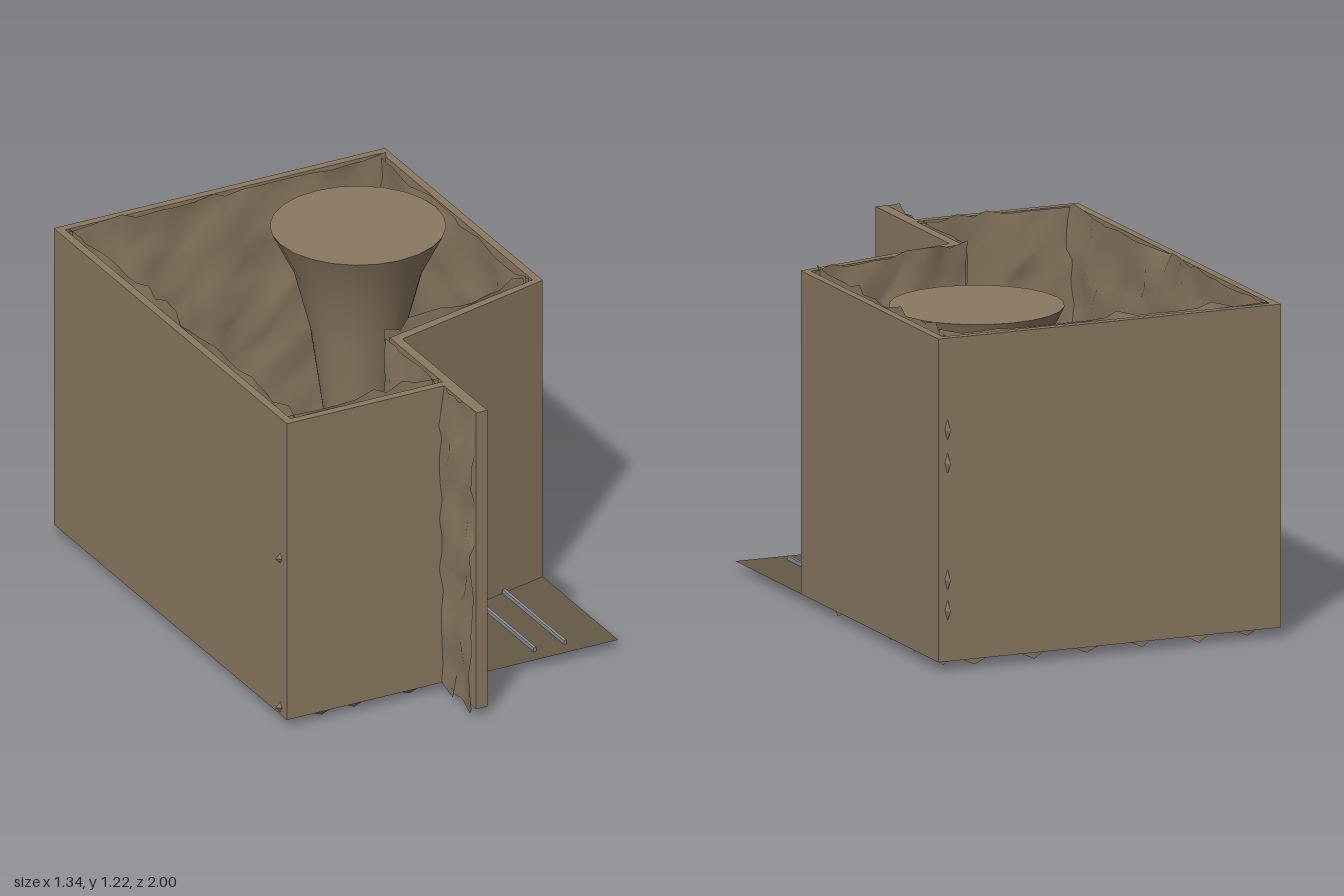
import * as THREE from 'three';

const BASE = 0.035, TOP = 1.2;
const mat = (color, side = THREE.FrontSide) => new THREE.MeshStandardMaterial({ color, side });
const rock = mat(0x8a7860), roughRock = mat(0x8a7860, THREE.DoubleSide);
const ground = mat(0x655846, THREE.DoubleSide), metal = mat(0x8c9094);
const cartMetal = mat(0x55565a), wood = mat(0x6b6358), postMat = mat(0x5c5a56), green = mat(0x3a5a48);

// seeded noise in 0..1
const hash = (a, b, c) => {
  const s = Math.sin(a * 127.1 + b * 311.7 + c * 74.7) * 43758.5453;
  return s - Math.floor(s);
};

function add(parent, name, geometry, material, x = 0, y = 0, z = 0, ry = 0) {
  const m = new THREE.Mesh(geometry, material);
  m.name = name;
  m.position.set(x, y, z);
  m.rotation.y = ry;
  parent.add(m);
  return m;
}
const box = (parent, name, material, w, h, d, x, y, z, ry) =>
  add(parent, name, new THREE.BoxGeometry(w, h, d), material, x, y, z, ry);

function group(parent, name, x, z, ry = 0) {
  const g = new THREE.Group();
  g.name = name;
  g.position.set(x, BASE, z);
  g.rotation.y = ry;
  parent.add(g);
  return g;
}

// craggy sheet from a to b, bulging to the side given by the normal
function roughPanel(parent, a, b, seed) {
  const dx = b[0] - a[0], dz = b[1] - a[1], len = Math.hypot(dx, dz);
  const ux = dx / len, uz = dz / len, nx = -uz, nz = ux;
  const cols = Math.max(5, Math.round(len / 0.07)), rows = 16;
  const geo = new THREE.PlaneGeometry(1, 1, cols, rows);
  const p = geo.attributes.position;
  for (let i = 0; i < p.count; i++) {
    const c = i % (cols + 1), r = Math.floor(i / (cols + 1));
    let u = (c / cols) * len, y = TOP - (r / rows) * (TOP - BASE);
    const k = hash(c, r, seed);
    const wave = Math.sin(u * 13 + y * 7 + seed) * Math.sin(y * 11 - u * 5 + seed * 2);
    const out = 0.012 + 0.012 * wave + 0.022 * k;
    // ragged rims
    if (r === rows) y -= c % 3 === 1 ? 0.035 : 0;
    else if (r === 0) y += k > 0.8 ? 0.02 : 0;
    else y += (hash(r, c, seed + 3) - 0.5) * 0.035;
    if (c > 0 && c < cols) u += (hash(c, r, seed + 7) - 0.5) * 0.03;
    p.setXYZ(i, a[0] + ux * u + nx * out, y, a[1] + uz * u + nz * out);
  }
  geo.computeVertexNormals();
  add(parent, 'craggyWallFace', geo, roughRock);
}

// small rock tips that break through the outer wall faces
function rockTip(parent, x, y, z, sx, sy, sz) {
  add(parent, 'rockTip', new THREE.OctahedronGeometry(1), rock, x, y, z).scale.set(sx, sy, sz);
}

function rails(parent) {
  const cx = 0.035, cz = -0.305, n = 9;
  for (const r of [0.335, 0.455]) {
    const left = r === 0.455 ? -0.42 : -0.30, right = r === 0.455 ? 0.49 : 0.37;
    const pts = [[left, 0.2]];
    for (let i = 0; i <= n; i++) {
      const t = (i / n) * Math.PI;
      pts.push([cx - r * Math.cos(t), cz - r * Math.sin(t)]);
    }
    pts.push([right, 0.7]);
    for (let i = 0; i + 1 < pts.length; i++) {
      const [x0, z0] = pts[i], [x1, z1] = pts[i + 1];
      box(parent, 'rail', metal, 0.011, 0.018, Math.hypot(x1 - x0, z1 - z0) + 0.003,
        (x0 + x1) / 2, 0.041, (z0 + z1) / 2, Math.atan2(x1 - x0, z1 - z0));
    }
  }
}

// open tub on four wheels
function cart(parent) {
  const g = group(parent, 'mineCart', -0.31, -0.5, -0.46);
  box(g, 'cartFloor', cartMetal, 0.12, 0.1, 0.25, 0, 0.09, 0);
  for (const s of [-1, 1]) {
    box(g, 'cartSide', cartMetal, 0.01, 0.08, 0.25, s * 0.057, 0.14, 0);
    box(g, 'cartEnd', cartMetal, 0.12, 0.08, 0.01, 0, 0.14, s * 0.12);
    for (const e of [-1, 1])
      add(g, 'cartWheel', new THREE.CylinderGeometry(0.025, 0.025, 0.012, 12).rotateZ(Math.PI / 2),
        metal, s * 0.055, 0.03, e * 0.075);
  }
}

// plank on two rod frames
function bench(parent, name, x, z, ry, h) {
  const g = group(parent, name, x, z, ry);
  box(g, 'plank', wood, 0.1, 0.02, 0.28, 0, h, 0);
  for (const e of [-1, 1]) {
    box(g, 'crossBar', metal, 0.12, 0.01, 0.01, 0, h - 0.01, e * 0.142);
    for (const s of [-1, 1])
      box(g, 'leg', metal, 0.01, h, 0.01, s * 0.045, h / 2, e * 0.135);
  }
}

// post with an arm reaching out to a hanging lantern
function lampPost(parent, px, pz, lx, lz) {
  const g = group(parent, 'lampPost', px, pz);
  const dx = lx - px, dz = lz - pz, h = 0.67;
  box(g, 'post', postMat, 0.07, h, 0.07, 0, h / 2, 0);
  box(g, 'arm', postMat, 0.014, 0.014, Math.hypot(dx, dz), dx / 2, h - 0.04, dz / 2, Math.atan2(dx, dz));
  box(g, 'lantern', green, 0.045, 0.07, 0.045, dx, h - 0.09, dz, Math.PI / 4);
}

function crate(parent, x, z, ry, y = 0) {
  const g = group(parent, 'crate', x, z, ry);
  box(g, 'crateBody', green, 0.085, 0.08, 0.085, 0, y + 0.04, 0);
  for (const s of [-1, 1]) box(g, 'crateSlat', green, 0.06, 0.006, 0.012, 0, y + 0.083, s * 0.025);
}

export function createModel() {
  const root = new THREE.Group();
  root.name = 'mineChamber';

  // floor sheet
  add(root, 'floor', new THREE.PlaneGeometry(1.32, 1.73).rotateX(-Math.PI / 2), ground, 0.01, BASE, -0.105);

  // wall ring with the projecting spur
  const v = ([x, z]) => new THREE.Vector2(x, z);
  const outer = [[-0.65, -0.97], [0.67, -0.97], [0.67, 0.2], [0.02, 0.37],
    [0.02, 1], [-0.025, 1], [-0.025, 0.76], [-0.65, 0.76]];
  const inner = [[-0.62, -0.94], [0.64, -0.94], [0.64, 0.18], [-0.015, 0.34], [-0.015, 0.73], [-0.62, 0.73]];
  const shape = new THREE.Shape(outer.map(v));
  shape.holes.push(new THREE.Path(inner.map(v)));
  const walls = new THREE.ExtrudeGeometry(shape, { depth: TOP - BASE, bevelEnabled: false });
  walls.rotateX(Math.PI / 2).translate(0, TOP, 0);
  add(root, 'walls', walls, rock);

  // craggy inner faces, and the rough side of the spur
  inner.forEach((a, i) => roughPanel(root, a, inner[(i + 1) % inner.length], i * 5 + 1));
  roughPanel(root, [-0.012, 0.76], [-0.012, 0.995], 41);

  // tips at the corners and along the foot
  for (const y of [0.22, 0.33, 0.75, 0.87]) rockTip(root, 0.635, y, -0.965, 0.012, 0.045, 0.033);
  for (const y of [0.065, 0.65]) {
    rockTip(root, -0.645, y, 0.71, 0.025, 0.025, 0.015);
    rockTip(root, 0.02, y, 0.72, 0.015, 0.02, 0.012);
  }
  for (const x of [-0.49, -0.36, -0.14]) rockTip(root, x, BASE, 0.72, 0.09, 0.034, 0.03);
  for (const x of [0.15, 0.3, 0.51]) rockTip(root, x, BASE, 0.33 - x * 0.25, 0.09, 0.034, 0.025);

  // hanging rock column, broad at the roof
  const profile = [[0, 0.12], [0.1, 0.12], [0.12, 0.45], [0.17, 0.8], [0.23, 1.03], [0.31, 1.19]]
    .map(([r, y]) => new THREE.Vector2(r, y));
  add(root, 'rockColumn', new THREE.LatheGeometry(profile, 24), rock, 0.31, 0, -0.5);
  add(root, 'rockColumnTop', new THREE.CircleGeometry(0.31, 24).rotateX(-Math.PI / 2), rock, 0.31, 1.19, -0.5);

  rails(root);
  cart(root);

  // benches and table
  bench(root, 'backBench', -0.35, -0.865, Math.PI / 2, 0.16);
  bench(root, 'sideBench', -0.545, -0.04, 0, 0.16);
  bench(root, 'table', 0.16, -0.11, 0.45, 0.2);

  // lamp posts in the corners
  for (const [px, pz, lx, lz] of [[-0.56, -0.87, -0.45, -0.77], [0.58, -0.87, 0.46, -0.77],
    [-0.56, 0.15, -0.45, 0.03], [0.58, 0.15, 0.46, 0.04], [-0.01, 0.32, -0.1, 0.47]])
    lampPost(root, px, pz, lx, lz);

  // crates
  for (const [x, z, ry, y] of [[-0.08, -0.15, 0.45, 0], [-0.08, -0.04, -0.1, 0], [-0.2, -0.04, -0.1, 0],
    [-0.15, -0.03, 0.05, 0.09], [0.25, 0.06, 0.4, 0], [0.22, 0.02, 0.3, 0.09], [0.09, -0.14, 0.6, 0]])
    crate(root, x, z, ry, y);

  return root;
}
